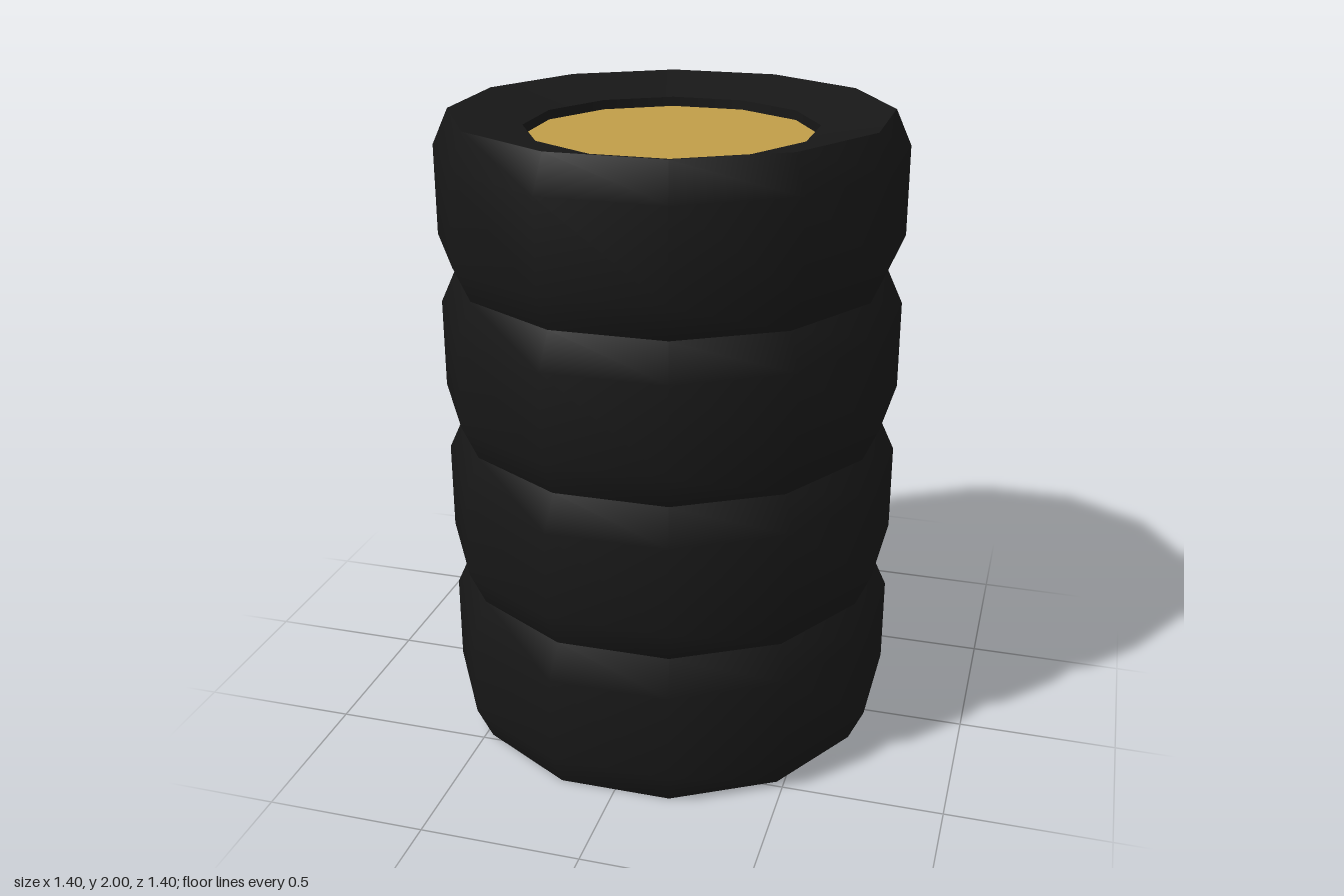
import * as THREE from 'three';

const SIDES = 12;
const START = Math.PI / SIDES; // turns a flat side towards the front
const HEIGHT = 0.5;
const RADIUS = 0.725; // corner radius of the tread
const RIM = 0.675;    // corner radius where the shoulder meets the sidewall
const HOLE = 0.45;    // corner radius of the central opening
const DISH = 0.05;    // how far the sidewalls slope in towards the opening
const RECESS = 0.08;  // depth of the hub faces

function material(name, color) {
  const m = new THREE.MeshStandardMaterial({ color });
  m.name = name;
  return m;
}

// Twelve-sided surface swept from [radius, height] points
function ring(name, points, mat) {
  const profile = points.map(([r, y]) => new THREE.Vector2(r, y));
  const mesh = new THREE.Mesh(new THREE.LatheGeometry(profile, SIDES, START), mat);
  mesh.name = name;
  return mesh;
}

export function createModel() {
  const rubber = material('black rubber', 0x171717);
  const gold = material('gold hub', 0xc09d48);
  const grey = material('grey hub', 0xc4c4c4);

  const stack = new THREE.Group();
  stack.name = 'tyreStack';

  for (let i = 0; i < 4; i++) {
    const tyre = new THREE.Group();
    tyre.name = `tyre${i + 1}`;
    tyre.position.y = i * HEIGHT;

    // Tread with sloping shoulders, smooth all the way round
    tyre.add(ring('tread', [[RIM, 0], [RADIUS, 0.11], [RADIUS, HEIGHT - 0.11], [RIM, HEIGHT]], rubber));

    // Dished sidewalls and the wall of the opening, with hard edges between them
    tyre.add(ring('upperSidewall', [[RIM, HEIGHT], [HOLE, HEIGHT - DISH]], rubber));
    tyre.add(ring('innerWall', [[HOLE, HEIGHT - DISH], [HOLE, DISH]], rubber));
    tyre.add(ring('lowerSidewall', [[HOLE, DISH], [RIM, 0]], rubber));

    // Recessed hub: gold on the upper face, grey on the lower face
    const hub = new THREE.Mesh(
      new THREE.CylinderGeometry(HOLE, HOLE, HEIGHT - 2 * RECESS, SIDES, 1, false, START),
      [rubber, gold, grey]
    );
    hub.name = 'hub';
    hub.position.y = HEIGHT / 2;
    tyre.add(hub);

    stack.add(tyre);
  }
  return stack;
}
